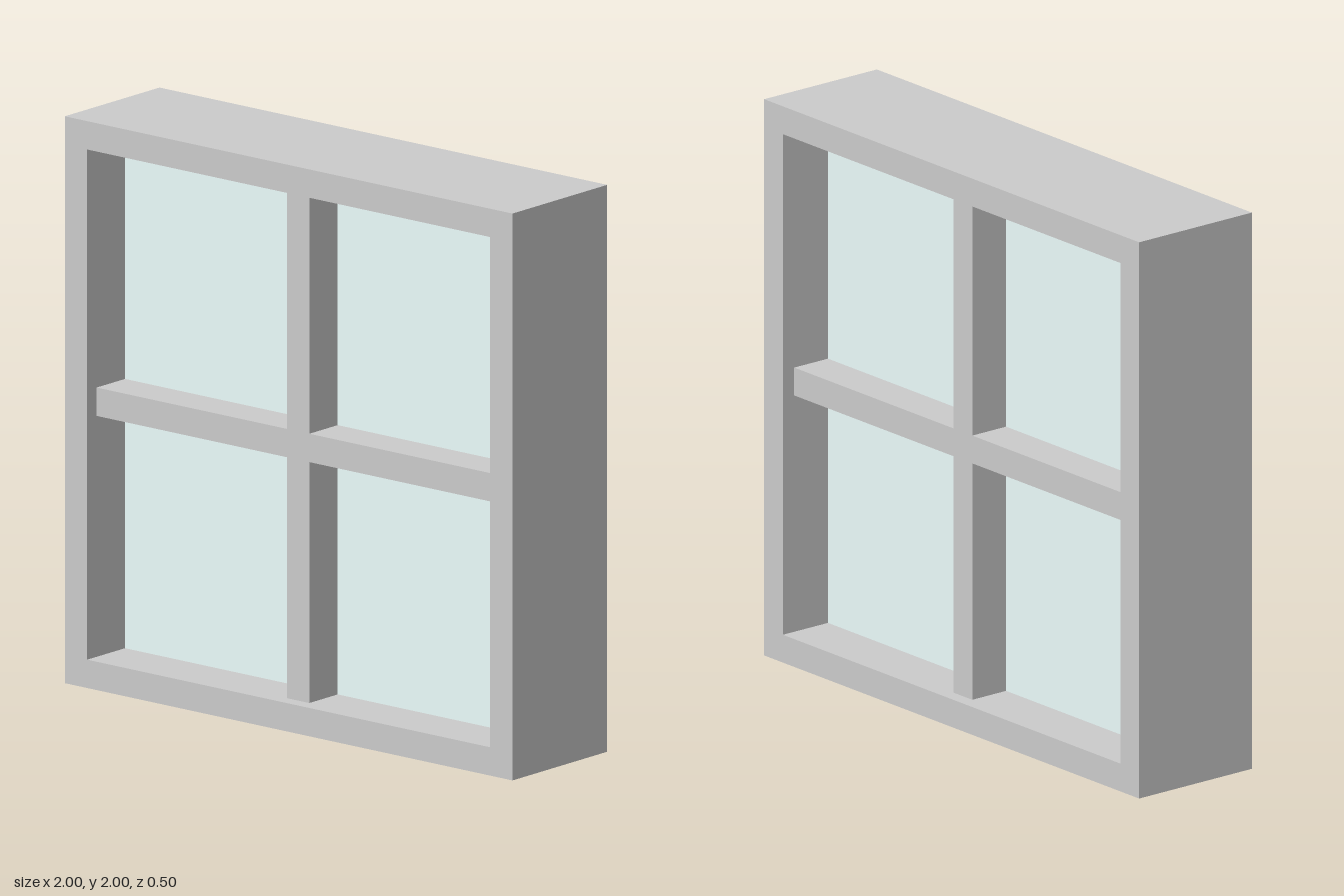
import * as THREE from 'three';

const OUTER = 1, INNER = 0.9, BAR = 0.05; // half sizes

// Closed outline from corner points
const outline = (points, Type = THREE.Shape) =>
  new Type(points.map(([x, y]) => new THREE.Vector2(x, y)));

const square = (h) => [[-h, -h], [h, -h], [h, h], [-h, h]];

// Extrude a shape symmetrically about z = 0
function slab(name, shape, depth, material) {
  const geometry = new THREE.ExtrudeGeometry(shape, { depth, bevelEnabled: false });
  geometry.translate(0, OUTER, -depth / 2);
  const mesh = new THREE.Mesh(geometry, material);
  mesh.name = name;
  return mesh;
}

export function createModel() {
  const group = new THREE.Group();
  group.name = 'window';
  const grey = new THREE.MeshStandardMaterial({ color: 0xcccccc });
  const glass = new THREE.MeshStandardMaterial({ color: 0xebfcfb });

  // Outer frame with a square opening
  const frame = outline(square(OUTER));
  frame.holes.push(outline(square(INNER), THREE.Path));
  group.add(slab('frame', frame, 0.5, grey));

  // Crossed glazing bars, set slightly back from the frame faces
  const a = INNER, b = BAR;
  const cross = outline([
    [-b, -a], [b, -a], [b, -b], [a, -b], [a, b], [b, b],
    [b, a], [-b, a], [-b, b], [-a, b], [-a, -b], [-b, -b],
  ]);
  group.add(slab('glazingBars', cross, 0.4, grey));

  // Four panes between the bars
  const size = INNER - BAR, mid = (INNER + BAR) / 2;
  for (const sx of [-1, 1]) {
    for (const sy of [-1, 1]) {
      const pane = new THREE.Mesh(new THREE.BoxGeometry(size, size, 0.1), glass);
      pane.name = `${sy > 0 ? 'upper' : 'lower'}${sx > 0 ? 'Left' : 'Right'}Pane`;
      pane.position.set(sx * mid, OUTER + sy * mid, 0);
      group.add(pane);
    }
  }
  return group;
}
